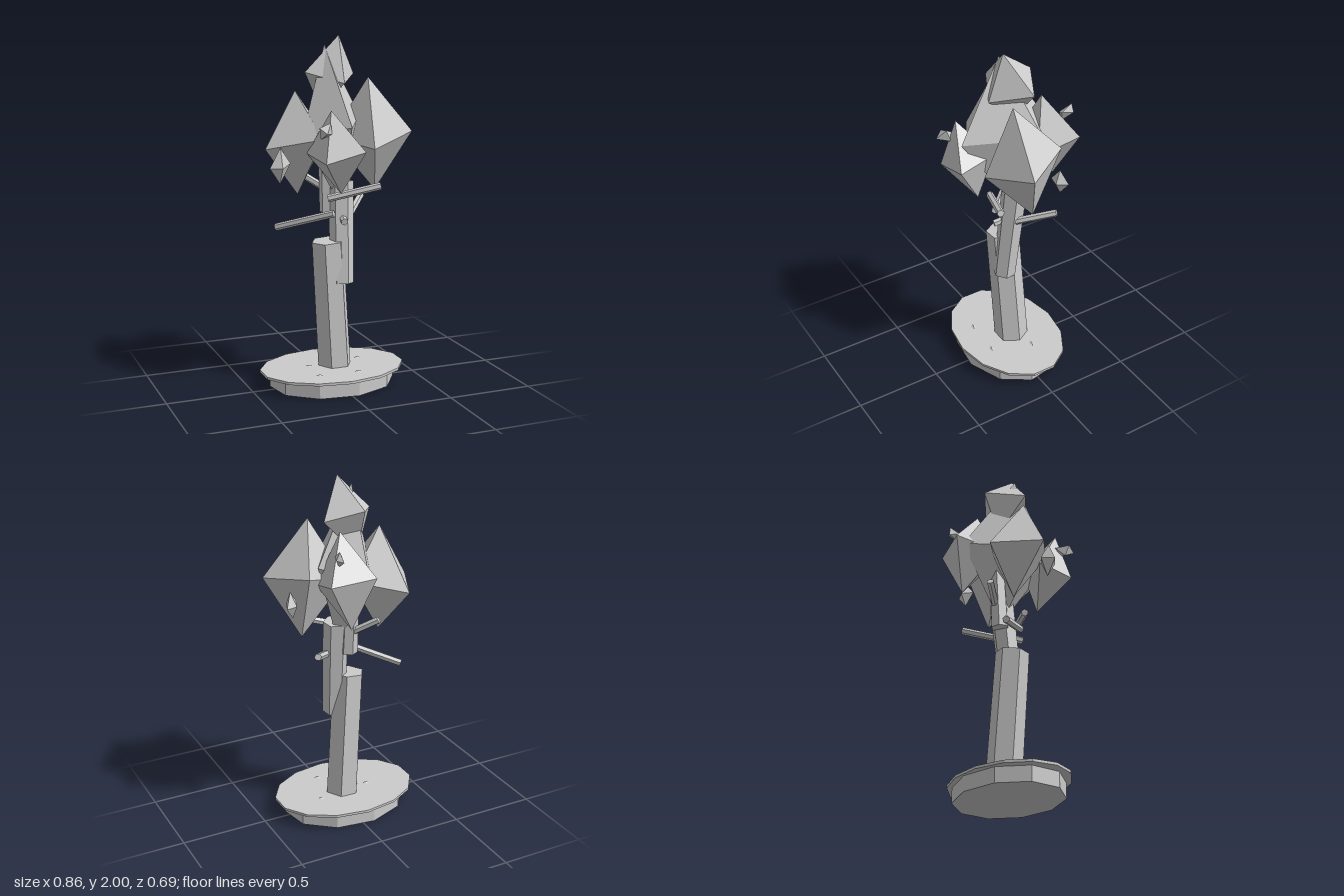
import * as THREE from 'three';

const material = new THREE.MeshStandardMaterial({ color: 0xcccccc, flatShading: true });
const V = (a) => new THREE.Vector3(...a);

export function createModel() {
  const tree = new THREE.Group();
  tree.name = 'tree';

  const add = (name, geometry) => {
    const mesh = new THREE.Mesh(geometry, material);
    mesh.name = name;
    tree.add(mesh);
    return mesh;
  };

  // Oval slab standing between two heights
  const slab = (name, rx, rz, y0, y1, sides, turn) => {
    const g = new THREE.CylinderGeometry(1, 1, y1 - y0, sides);
    g.rotateY(turn).scale(rx, 1, rz).translate(-0.015, (y0 + y1) / 2, -0.005);
    add(name, g);
  };

  // Straight prism between two points
  const rod = (name, from, to, r0, r1, turn = 0) => {
    const a = V(from), b = V(to), dir = b.clone().sub(a);
    const g = new THREE.CylinderGeometry(r1, r0, dir.length(), 6).rotateY(turn);
    const mesh = add(name, g);
    mesh.quaternion.setFromUnitVectors(new THREE.Vector3(0, 1, 0), dir.normalize());
    mesh.position.addVectors(a, b).multiplyScalar(0.5);
  };

  // Skewed octahedron given by its centre and three half axes
  const clump = (name, centre, up, side, front) => {
    const [u, s, f] = [V(up), V(side), V(front)];
    if (s.clone().cross(u).dot(f) < 0) f.negate();
    const m = new THREE.Matrix4().makeBasis(s, u, f).setPosition(V(centre));
    const g = new THREE.OctahedronGeometry(1).applyMatrix4(m);
    g.computeVertexNormals();
    add(name, g);
  };

  // Ground
  slab('soil', 0.37, 0.288, 0, 0.085, 10, 1.4);
  slab('grass', 0.429, 0.31, 0.085, 0.1, 14, 0);
  for (const [x, z] of [[-0.15, 0.15], [-0.15, -0.03], [0.17, -0.07], [0.08, 0.16]]) {
    clump('pebble', [x, 0.1, z], [0, 0.008, 0], [0.022, 0, 0.006], [-0.004, 0, 0.015]);
  }

  // Trunk in three overlapping pieces
  rod('lowerTrunk', [0.008, 0.095, -0.025], [-0.045, 0.845, 0.003], 0.1, 0.095, Math.PI / 6);
  rod('upperTrunk', [0.03, 0.6, 0.038], [0.045, 1.18, -0.022], 0.066, 0.073, 0.2);
  rod('trunkTip', [-0.015, 1.0, -0.06], [-0.02, 1.5, -0.09], 0.052, 0.045);

  // Branches
  const branches = [
    [[-0.03, 1.01, 0.06], [-0.3, 0.91, -0.16]],
    [[0.09, 0.985, 0], [0.235, 1.06, -0.18]],
    [[-0.07, 1.1, 0.07], [0.21, 1.17, 0.17]],
    [[-0.01, 1.12, -0.08], [-0.14, 1.21, -0.18]],
    [[0.04, 0.985, 0], [0.02, 0.965, 0.1]],
  ];
  for (const [from, to] of branches) rod('branch', from, to, 0.021, 0.021);

  // Main foliage
  clump('crownCentre', [-0.015, 1.5, -0.01], [-0.052, 0.45, 0.02], [0.21, 0.04, -0.1], [0.005, 0.015, 0.288]);
  clump('crownTop', [-0.02, 1.79, -0.03], [0.03, 0.21, 0.06], [0.165, -0.01, -0.05], [0.03, -0.05, 0.15]);
  clump('crownLeft', [0.21, 1.445, 0.03], [-0.04, 0.325, 0.04], [0.22, 0.015, 0.07], [-0.065, -0.06, 0.2]);
  clump('crownRight', [-0.215, 1.405, -0.04], [-0.015, 0.295, 0.025], [-0.2, -0.02, 0.055], [-0.075, -0.04, -0.215]);
  clump('crownFront', [-0.075, 1.375, 0.21], [-0.045, 0.235, 0.04], [0.13, 0.01, 0.11], [-0.1, -0.045, 0.11]);
  clump('crownBack', [0.08, 1.48, -0.21], [0.01, 0.265, 0.05], [0.145, 0.02, -0.115], [-0.115, 0.04, -0.135]);

  // Loose leaves around the crown
  clump('leaf', [-0.35, 1.3, 0.075], [0, 0.1, 0.005], [0.063, 0.01, -0.01], [0, -0.01, 0.045]);
  clump('leaf', [-0.165, 1.505, 0.285], [0.025, 0.045, 0.01], [0.04, -0.02, -0.01], [-0.012, -0.01, 0.055]);
  clump('leaf', [0.155, 1.635, -0.28], [0.01, 0.05, -0.025], [0.032, 0.005, -0.025], [0.01, 0.01, 0.035]);
  clump('leaf', [0.355, 1.36, -0.11], [0.005, 0.075, 0.005], [0.04, -0.01, -0.03], [0.015, 0, 0.037]);

  return tree;
}
